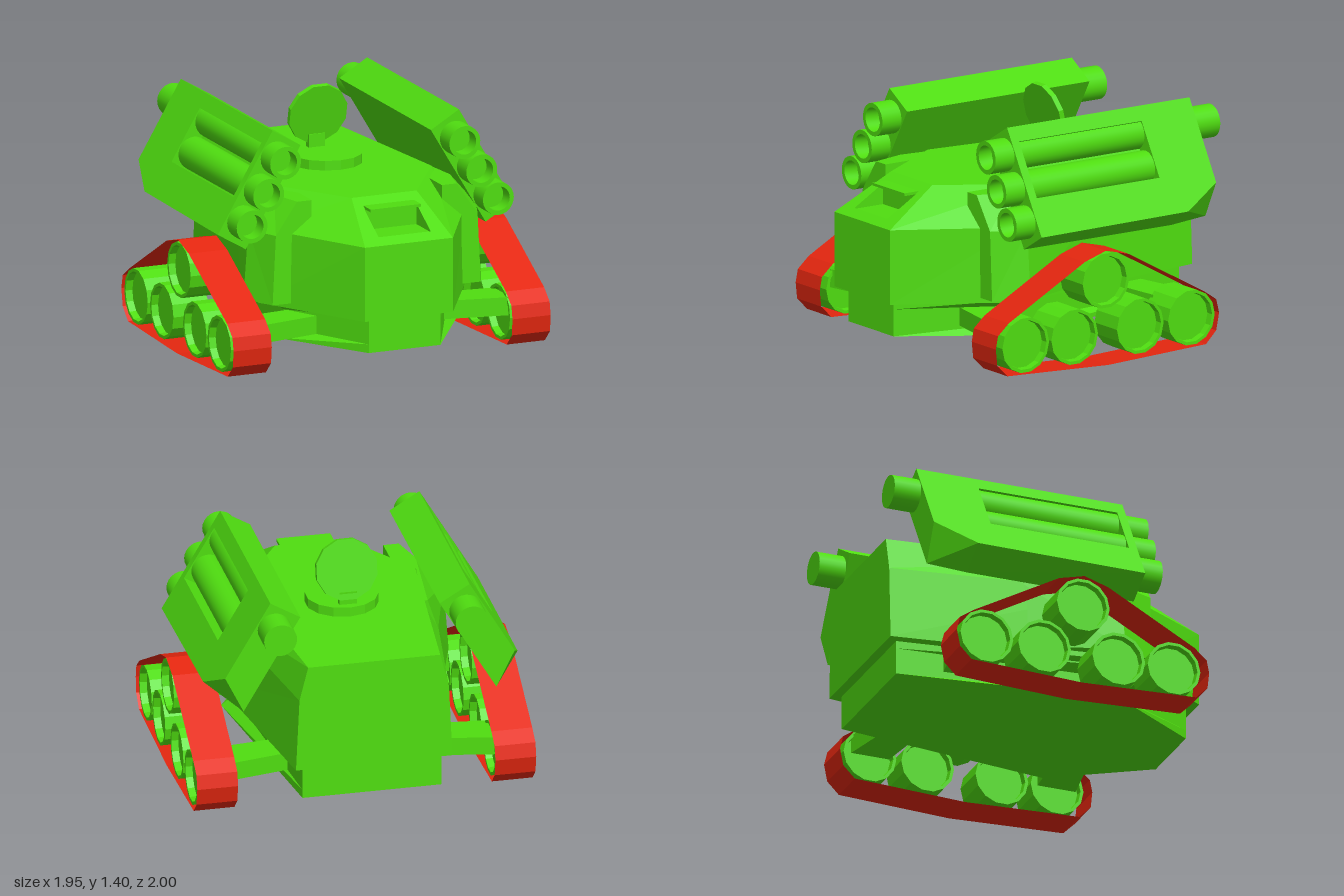
import * as THREE from 'three';
import { toCreasedNormals } from 'three/addons/utils/BufferGeometryUtils.js';

const green = new THREE.MeshStandardMaterial({ color: 0x4fdd10 });
const red = new THREE.MeshStandardMaterial({ color: 0xe3260f, side: THREE.DoubleSide });

// Flat-shaded geometry from convex polygons
function facets(polys) {
  const pos = [];
  for (const p of polys)
    for (let i = 1; i < p.length - 1; i++) pos.push(...p[0], ...p[i], ...p[i + 1]);
  const g = new THREE.BufferGeometry();
  g.setAttribute('position', new THREE.Float32BufferAttribute(pos, 3));
  g.computeVertexNormals();
  return g;
}

// Polygons skinning a stack of loops (counter-clockwise about the stack axis), with caps
function loft(rings, skip = () => false) {
  const n = rings[0].length;
  const polys = [[...rings[0]].reverse(), rings[rings.length - 1]];
  for (let k = 0; k < rings.length - 1; k++)
    for (let i = 0; i < n; i++) {
      const j = (i + 1) % n;
      if (!skip(k, i)) polys.push([rings[k][i], rings[k][j], rings[k + 1][j], rings[k + 1][i]]);
    }
  return polys;
}

// A face with a recess: frame, walls and floor
function pocket(outer, rim, floor) {
  const polys = [floor];
  for (let i = 0; i < 4; i++) {
    const j = (i + 1) % 4;
    polys.push([outer[i], outer[j], rim[j], rim[i]], [rim[i], rim[j], floor[j], floor[i]]);
  }
  return polys;
}

// Horizontal loops: a plain one, and one mirrored across x = 0
const level = (y, plan) => plan.map(([x, z]) => [x, y, z]);
const symmetric = (y, half) => level(y, [...half, ...[...half].reverse().map(([x, z]) => [-x, z])]);

function lathe(points, sides, crease) {
  const g = new THREE.LatheGeometry(points.map(([r, y]) => new THREE.Vector2(r, y)), sides);
  return toCreasedNormals(g, crease);
}

function mirrored(geo) {
  const g = geo.index ? geo.toNonIndexed() : geo.clone();
  g.applyMatrix4(new THREE.Matrix4().makeScale(-1, 1, 1));
  for (const a of Object.values(g.attributes))
    for (let t = 0; t < a.count; t += 3)
      for (let c = 0; c < a.itemSize; c++) {
        const v = a.getComponent(t + 1, c);
        a.setComponent(t + 1, c, a.getComponent(t + 2, c));
        a.setComponent(t + 2, c, v);
      }
  return g;
}

export function createModel() {
  const model = new THREE.Group();
  const add = (name, geo, mat = green) => {
    const mesh = new THREE.Mesh(geo, mat);
    mesh.name = name;
    model.add(mesh);
    return mesh;
  };
  const addPair = (name, geo, mat = green) => {
    add(name + 'Left', geo, mat);
    add(name + 'Right', mirrored(geo), mat);
  };

  // Upper hull, with a vision slot cut into the sloping front plate
  const hullRings = [
    symmetric(0.35, [[0.27, 1], [0.64, 0.37], [0.45, -0.945]]),
    symmetric(0.78, [[0.27, 1], [0.63, 0.37], [0.43, -0.945]]),
    symmetric(0.98, [[0.2, 0.66], [0.5, 0.2], [0.38, -0.945]]),
  ];
  const hull = loft(hullRings, (k, i) => k === 1 && i === 5);
  hull.push(...pocket(
    [hullRings[1][5], hullRings[1][0], hullRings[2][0], hullRings[2][5]],
    [[-0.16, 0.815, 0.94], [0.16, 0.815, 0.94], [0.16, 0.93, 0.745], [-0.16, 0.93, 0.745]],
    [[-0.16, 0.81, 0.94], [0.16, 0.81, 0.94], [0.16, 0.81, 0.745], [-0.16, 0.81, 0.745]]));
  add('upperHull', facets(hull));
  add('visionHood', new THREE.BoxGeometry(0.31, 0.016, 0.12)).position.set(0, 0.937, 0.76);

  // Lower hull with pinched sides where the struts leave
  const lower = (y, front, mid) => symmetric(y, [[front, 0.94], [mid, 0.4], [0.4, -0.89]]);
  add('lowerHull', facets(loft([
    lower(0.15, 0.22, 0.57), lower(0.2, 0.22, 0.5), lower(0.305, 0.22, 0.5), lower(0.35, 0.22, 0.57)])));

  // Side sponsons
  addPair('sponson', facets(loft([
    level(0.38, [[0.4, 0.56], [0.64, 0.56], [0.73, 0.36], [0.55, -0.2], [0.4, -0.2]]),
    level(0.78, [[0.4, 0.56], [0.62, 0.56], [0.7, 0.36], [0.54, -0.2], [0.4, -0.2]]),
    level(0.965, [[0.4, 0.56], [0.49, 0.56], [0.54, 0.36], [0.48, -0.2], [0.4, -0.2]])])));

  // Struts carrying the tracks
  for (const [name, s] of [['frontStrut', 1], ['rearStrut', -1]]) {
    const plan = [[0.3, 0.59 * s], [0.77, 0.68 * s], [0.77, 0.45 * s], [0.3, 0.4 * s]];
    if (s < 0) plan.reverse();
    addPair(name, facets(loft([level(0.2, plan), level(0.305, plan)])));
  }

  // Track belts: thin open bands
  const belt = [[0.015, 0.665], [0.16, 0.62], [0.68, 0.34], [0.755, 0.275], [0.77, 0.2], [0.76, 0.105],
    [0.69, 0.035], [0, 0.004], [-0.67, 0.03], [-0.74, 0.1], [-0.76, 0.2], [-0.74, 0.28],
    [-0.66, 0.335], [-0.14, 0.625]];
  addPair('trackBelt', facets(belt.map(([z, y], i) => {
    const [z2, y2] = belt[(i + 1) % belt.length];
    return [[0.74, y, z], [0.74, y2, z2], [0.975, y2, z2], [0.975, y, z]];
  })), red);

  // Road wheels and the raised sprocket, dished on both faces
  const wheel = lathe([[0, -0.07], [0.138, -0.07], [0.142, -0.11], [0.16, -0.11],
    [0.16, 0.11], [0.142, 0.11], [0.138, 0.07], [0, 0.07]], 14, 0.3).rotateZ(-Math.PI / 2);
  [[0.56, 0.195], [0.225, 0.195], [-0.225, 0.195], [-0.575, 0.195], [0.01, 0.49]].forEach(([z, y], i) =>
    addPair(i < 4 ? 'roadWheel' + (i + 1) : 'sprocket', wheel.clone().translate(0.858, y, z)));

  // Launcher pods: tilted boxes with a rear chamfer and an open side window
  const place = (g) => g.rotateZ(0.535).translate(0.655, 1.015, 0);
  const section = (z, inner, outer) =>
    [[-0.1, inner, z], [0.1, outer, z], [0.1, 0.33, z], [-0.1, 0.33, z]];
  const podRings = [section(-0.84, -0.31, -0.18), section(-0.6, -0.33, -0.32), section(0.41, -0.33, -0.33)];
  const opening = (x) => [[x, -0.1, -0.48], [x, 0.24, -0.48], [x, 0.24, 0.36], [x, -0.1, 0.36]];
  const pod = loft(podRings, (k, i) => k === 1 && i === 1);
  pod.push(...pocket([podRings[1][1], podRings[1][2], podRings[2][2], podRings[2][1]],
    opening(0.1), opening(0)));
  addPair('launcherPod', place(facets(pod)));

  // Launch tubes, hollow at the muzzle; the top one runs out of the back
  [[0.204, -1], [0, -0.8], [-0.2, -0.55]].forEach(([y, back], i) => {
    const tube = lathe([[0, back], [0.095, back], [0.095, 0.54], [0.07, 0.54], [0.07, 0.45], [0, 0.45]], 24, 0.6);
    addPair('launchTube' + (i + 1), place(tube.rotateX(Math.PI / 2).translate(0, y, 0)));
  });

  // Roof ring and radar dish
  const disc = (r, h, n) => new THREE.CylinderGeometry(r, r, h, n).toNonIndexed();
  const flat = (g) => { g.computeVertexNormals(); return g; };
  add('roofRing', flat(disc(0.208, 0.06, 14))).position.set(0, 1.005, -0.135);
  add('dishNeck', new THREE.BoxGeometry(0.1, 0.1, 0.04)).position.set(0, 1.06, -0.275);
  const dish = add('radarDish', flat(disc(0.18, 0.03, 12).rotateY(Math.PI / 12).rotateX(Math.PI / 2)));
  dish.position.set(0, 1.232, -0.25);
  dish.rotation.x = 0.22;

  return model;
}
